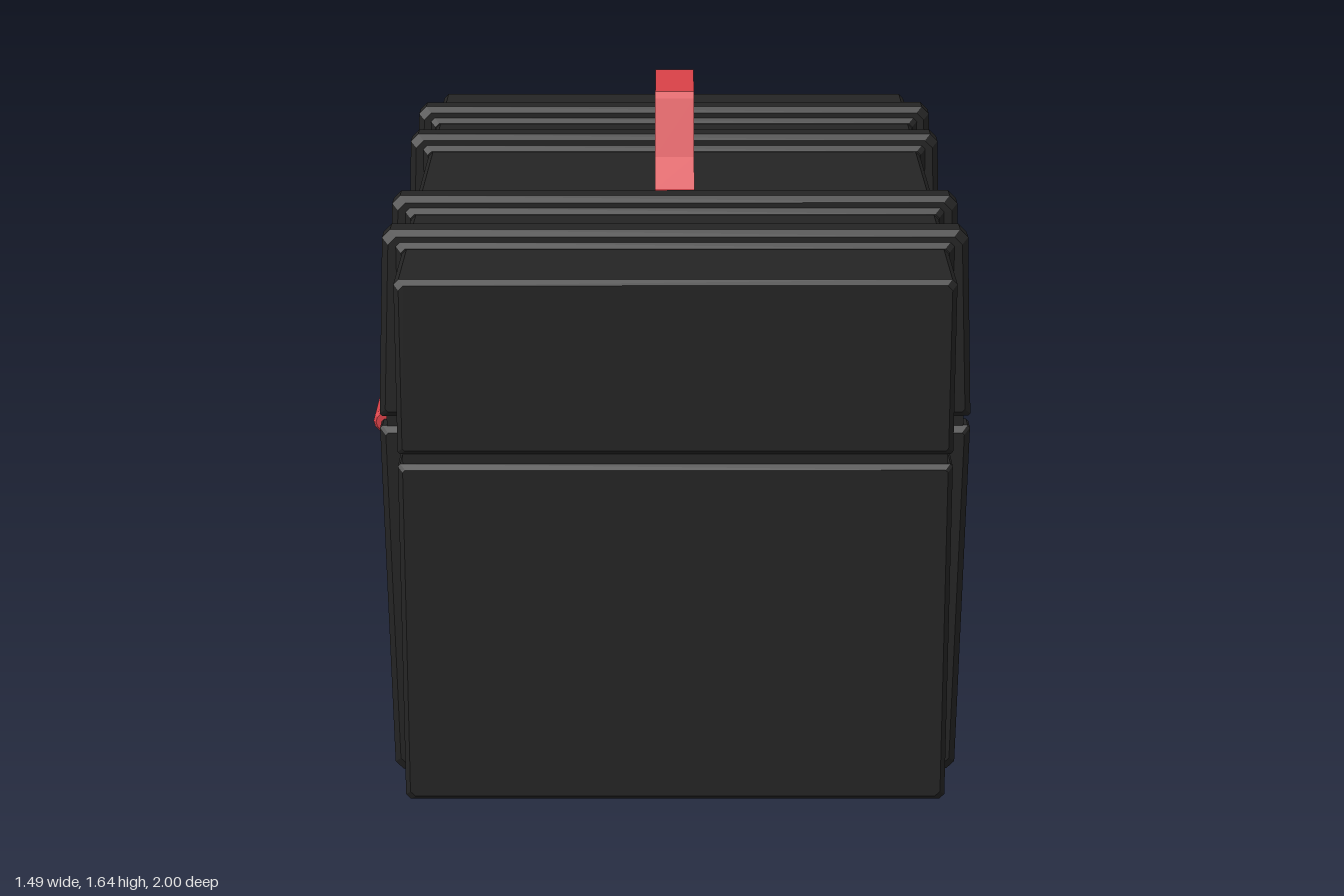
import * as THREE from 'three';
import { ConvexGeometry } from 'three/addons/geometries/ConvexGeometry.js';

const CX = 0.008; // the shell sits slightly off the centre line

// Convex slab: an x/y outline swept along z, with bevelled front and back rims.
function bevelSlab(outline, halfDepth, bevel) {
  const ys = outline.map((p) => p[1]);
  const midY = (Math.min(...ys) + Math.max(...ys)) / 2;
  const points = [];
  for (const [x, y] of outline) {
    for (const s of [-1, 1]) {
      points.push(new THREE.Vector3(x, y, s * (halfDepth - bevel)));
      points.push(new THREE.Vector3(x - Math.sign(x) * bevel, y - Math.sign(y - midY) * bevel, s * halfDepth));
    }
  }
  return new ConvexGeometry(points);
}

// Trapezoid outline with cut corners.
function outline(w0, y0, w1, y1, c0, c1) {
  const pts = [];
  for (const s of [-1, 1]) {
    pts.push([s * (w0 - c0), y0], [s * w0, y0 + c0], [s * w1, y1 - c1], [s * (w1 - c1), y1]);
  }
  return pts;
}

export function createModel() {
  const black = new THREE.MeshStandardMaterial({ name: 'black shell', color: 0x242424 });
  const red = new THREE.MeshStandardMaterial({ name: 'red fittings', color: 0xd94148 });
  const model = new THREE.Group();
  model.name = 'case';

  function add(name, geometry, material, x = 0, y = 0, z = 0, parent = model) {
    const mesh = new THREE.Mesh(geometry, material);
    mesh.name = name;
    mesh.position.set(x, y, z);
    parent.add(mesh);
    return mesh;
  }

  // Two shell halves with a recessed seam between them
  add('lowerShell', bevelSlab(outline(0.666, 0.05, 0.666, 0.925, 0.012, 0.006), 1, 0.012), black, CX);
  add('upperShell', bevelSlab(outline(0.666, 0.95, 0.666, 1.385, 0.006, 0.012), 1, 0.012), black, CX);
  add('seamCore', new THREE.BoxGeometry(1.308, 0.06, 1.976), black, CX, 0.9375);

  // Ribs around the shell, each half with a flared foot
  const ribParts = {
    lowerRib: bevelSlab(outline(0.715, 0, 0.732, 0.925, 0.02, 0.006), 0.042, 0.015),
    upperRib: bevelSlab(outline(0.732, 0.95, 0.715, 1.428, 0.006, 0.02), 0.042, 0.015),
    lowerRibFoot: bevelSlab(outline(0.682, 0.035, 0.682, 0.925, 0.01, 0.004), 0.055, 0.014),
    upperRibFoot: bevelSlab(outline(0.682, 0.95, 0.682, 1.4, 0.004, 0.01), 0.055, 0.014),
    ribSeamCore: new THREE.BoxGeometry(1.43, 0.05, 0.056).translate(0, 0.9375, 0),
  };
  for (const z of [-0.665, -0.335, 0.335, 0.665]) {
    const rib = new THREE.Group();
    rib.name = 'rib';
    rib.position.set(CX, 0, z);
    model.add(rib);
    for (const [name, geometry] of Object.entries(ribParts)) add(name, geometry, black, 0, 0, 0, rib);
  }

  // Carrying handle: half profile mirrored front to back
  const outer = [[0.27, 1.385], [0.266, 1.42], [0.205, 1.49], [0.145, 1.63], [0.132, 1.645]];
  const inner = [[0.152, 1.54], [0.2, 1.415], [0.215, 1.385]];
  const flip = (pts) => pts.map(([z, y]) => [-z, y]).reverse();
  const profile = [...outer, ...flip(outer), ...flip(inner), ...inner];
  const shape = new THREE.Shape(profile.map(([z, y]) => new THREE.Vector2(z, y)));
  const handle = new THREE.ExtrudeGeometry(shape, { depth: 0.1, bevelEnabled: false });
  handle.translate(0, 0, -0.05).rotateY(-Math.PI / 2);
  add('handle', handle, red, CX);

  // Latches on the left side
  for (const z of [0.508, -0.52]) {
    const latch = new THREE.Group();
    latch.name = 'latch';
    latch.position.set(0, 0, z);
    model.add(latch);
    add('latchPlate', new THREE.BoxGeometry(0.032, 0.36, 0.195), red, 0.706, 0.96, 0, latch);
    add('latchGrip', new THREE.BoxGeometry(0.02, 0.068, 0.175), black, 0.726, 0.962, 0, latch);
  }

  // Hinge barrels on the right side
  const barrelProfile = [[0, -0.134], [0.024, -0.134], [0.031, -0.124], [0.031, 0.124], [0.024, 0.134], [0, 0.134]];
  const barrel = new THREE.LatheGeometry(barrelProfile.map(([r, y]) => new THREE.Vector2(r, y)), 12).toNonIndexed();
  barrel.computeVertexNormals();
  barrel.rotateX(Math.PI / 2);
  add('hinge', barrel, red, -0.703, 0.918, -0.49);
  add('hinge', barrel, red, -0.714, 0.918, 0.508);

  return model;
}
